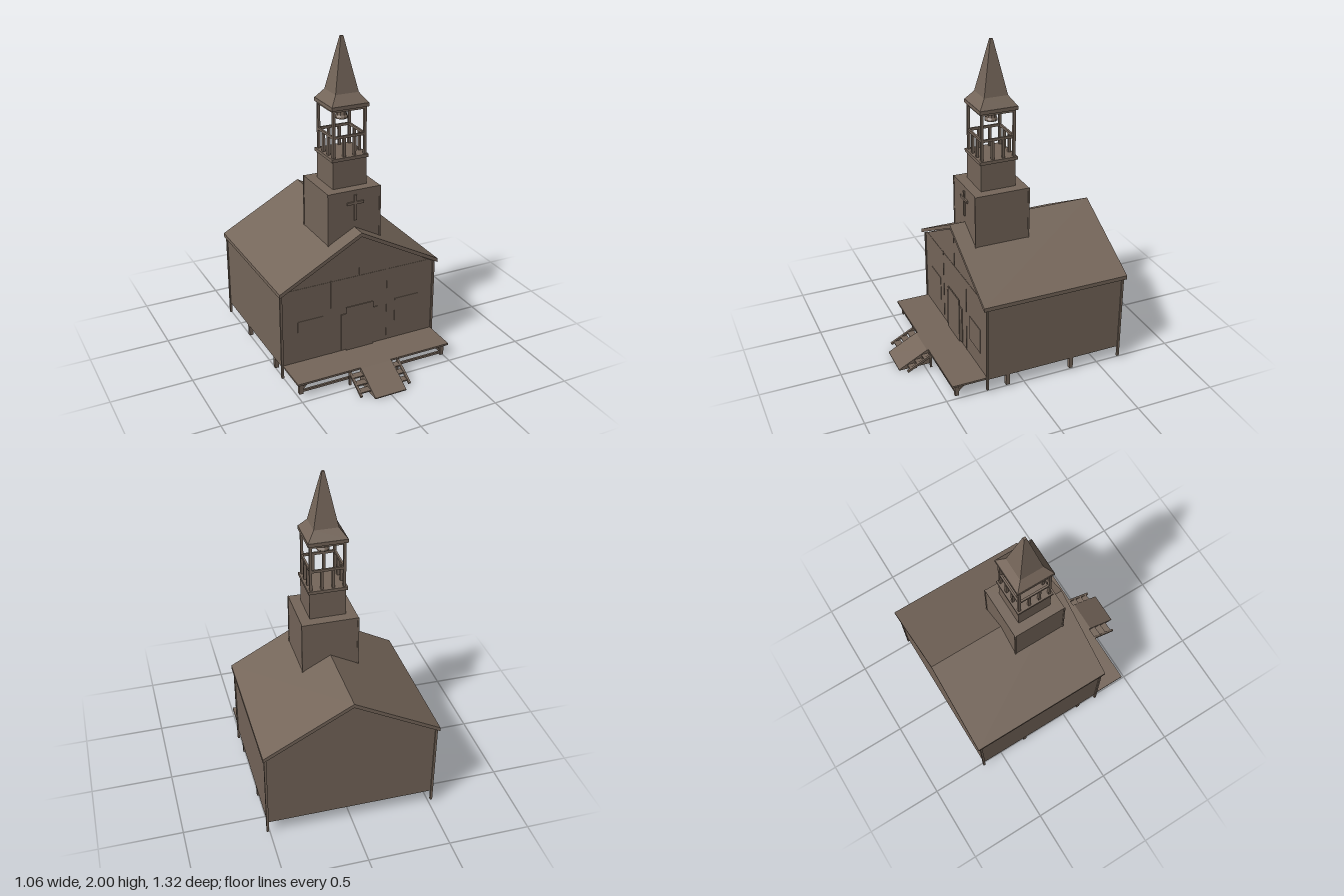
import * as THREE from 'three';

export function createModel() {
  const model = new THREE.Group();
  model.name = 'chapel';
  const wood = new THREE.MeshStandardMaterial({ color: 0x75665a, flatShading: true });
  wood.name = 'weathered brown';

  const add = (name, geometry, parent = model) => {
    const mesh = new THREE.Mesh(geometry, wood);
    mesh.name = name;
    parent.add(mesh);
    return mesh;
  };
  // box from its minimum and maximum corners
  const box = (name, x0, x1, y0, y1, z0, z1, parent) => {
    const m = add(name, new THREE.BoxGeometry(x1 - x0, y1 - y0, z1 - z0), parent);
    m.position.set((x0 + x1) / 2, (y0 + y1) / 2, (z0 + z1) / 2);
    return m;
  };
  // square bar between two points
  const bar = (name, a, b, t, parent) => {
    const p = new THREE.Vector3(...a), q = new THREE.Vector3(...b);
    const m = add(name, new THREE.BoxGeometry(t, t, p.distanceTo(q)), parent);
    m.position.copy(p).lerp(q, 0.5);
    m.lookAt(q);
    return m;
  };
  // outline in x, y pushed along z
  const prism = (name, pts, z0, z1, parent) => {
    const shape = new THREE.Shape(pts.map(p => new THREE.Vector2(...p)));
    const g = new THREE.ExtrudeGeometry(shape, { depth: z1 - z0, bevelEnabled: false });
    return add(name, g.translate(0, 0, z0), parent);
  };
  const group = name => {
    const g = new THREE.Group();
    g.name = name;
    model.add(g);
    return g;
  };

  // main hall and gable roof
  const hall = group('hall');
  prism('hallWalls', [[-0.515, 0.09], [0.515, 0.09], [0.515, 0.575], [0, 0.855], [-0.515, 0.575]], -0.64, 0.245, hall);
  prism('roof', [[-0.53, 0.575], [0, 0.86], [0.53, 0.575], [0.53, 0.6], [0, 0.885], [-0.53, 0.6]], -0.662, 0.27, hall);
  for (const x of [-0.515, 0.515])
    for (const z of [-0.64, 0.245])
      box('cornerBoard', x - 0.007, x + 0.007, 0.02, 0.575, z - 0.007, z + 0.007, hall);

  // front wall details
  const front = group('frontDetails');
  for (const s of [-1, 1]) {
    const x = s * 0.328;
    box('window', x - 0.083, x + 0.083, 0.213, 0.377, 0.244, 0.248, front);
    box('wallSeam', s * 0.19 - 0.003, s * 0.19 + 0.003, 0.1, 0.6, 0.244, 0.247, front);
  }
  box('gableSeam', -0.003, 0.003, 0.6, 0.85, 0.244, 0.247, front);
  box('gableSill', -0.48, 0.48, 0.59, 0.595, 0.244, 0.247, front);
  box('doorFrame', -0.125, 0.125, 0.11, 0.355, 0.244, 0.251, front);
  box('door', -0.095, 0.092, 0.1, 0.4, 0.25, 0.256, front);

  // porch deck with its posts, rail and braces
  const porch = group('porch');
  box('deck', -0.51, 0.51, 0.09, 0.102, 0.24, 0.465, porch);
  box('porchRail', -0.48, 0.48, 0.024, 0.038, 0.425, 0.437, porch);
  for (const s of [-1, 1]) {
    const x = s * 0.48;
    box('porchPost', x - 0.012, x + 0.012, 0.015, 0.09, 0.418, 0.442, porch);
    bar('porchBrace', [x, 0.035, 0.43], [s * 0.425, 0.092, 0.43], 0.012, porch);
    bar('porchBrace', [x, 0.035, 0.43], [x, 0.092, 0.37], 0.012, porch);
  }

  // short foundation posts
  for (const z of [0.11, -0.315])
    for (const x of [-0.5, -0.17, 0.17, 0.5])
      box('foundationPost', x - 0.012, x + 0.012, 0.015, 0.095, z - 0.012, z + 0.012);

  // stairs with a ramp laid over the middle
  const stairs = group('stairs');
  for (const x of [-0.175, 0.147]) {
    bar('stringer', [x, 0.012, 0.62], [x, 0.092, 0.465], 0.014, stairs);
    box('stairPost', x - 0.006, x + 0.006, 0.005, 0.1, 0.462, 0.474, stairs);
  }
  for (let i = 0; i < 3; i++)
    box('tread', -0.175, 0.147, 0.022 + i * 0.024, 0.03 + i * 0.024, 0.56 - i * 0.046, 0.605 - i * 0.046, stairs);
  const ramp = prism('ramp', [[-0.66, 0], [-0.46, 0], [-0.46, 0.102], [-0.475, 0.102], [-0.66, 0.006]], -0.105, 0.102, stairs);
  ramp.rotation.y = Math.PI / 2;
  ramp.position.x = 0;

  // tower stages
  const tower = group('tower');
  box('towerBase', -0.172, 0.172, 0.6, 1.12, -0.172, 0.172, tower);
  for (const x of [-0.17, 0.17])
    for (const z of [-0.17, 0.17])
      box('towerCorner', x - 0.005, x + 0.005, 0.72, 1.12, z - 0.005, z + 0.005, tower);
  box('towerUpper', -0.11, 0.11, 1.12, 1.29, -0.11, 0.11, tower);
  box('belfryFloor', -0.119, 0.119, 1.29, 1.31, -0.119, 0.119, tower);
  box('crossUpright', -0.004, 0.012, 0.93, 1.092, 0.17, 0.181, tower);
  box('crossArm', -0.05, 0.058, 1.032, 1.048, 0.17, 0.181, tower);

  // open belfry: four identical sides
  const belfry = group('belfry');
  for (let i = 0; i < 4; i++) {
    const side = new THREE.Group();
    side.name = 'belfrySide';
    side.rotation.y = i * Math.PI / 2;
    belfry.add(side);
    box('belfryPost', 0.093, 0.109, 1.31, 1.605, 0.093, 0.109, side);
    box('railing', -0.1, 0.1, 1.425, 1.441, 0.095, 0.107, side);
    box('topBeam', -0.1, 0.1, 1.585, 1.605, 0.095, 0.107, side);
    for (const x of [-0.034, 0.034])
      box('baluster', x - 0.008, x + 0.008, 1.31, 1.427, 0.093, 0.109, side);
  }

  // bell and its hanger
  const bellProfile = [[0, 1.515], [0.039, 1.515], [0.039, 1.525], [0.032, 1.535], [0.029, 1.565], [0.012, 1.587], [0, 1.59]];
  add('bell', new THREE.LatheGeometry(bellProfile.map(p => new THREE.Vector2(...p)), 10), belfry);
  box('bellHanger', -0.005, 0.005, 1.58, 1.605, -0.005, 0.005, belfry);

  // flared square spire
  box('spireEaves', -0.119, 0.119, 1.6, 1.622, -0.119, 0.119);
  const spireProfile = [[0.119, 1.62], [0.074, 1.68], [0.008, 2], [0, 2]];
  const spire = new THREE.LatheGeometry(spireProfile.map(([r, y]) => new THREE.Vector2(r * Math.SQRT2, y)), 4);
  add('spire', spire.rotateY(Math.PI / 4));

  return model;
}
